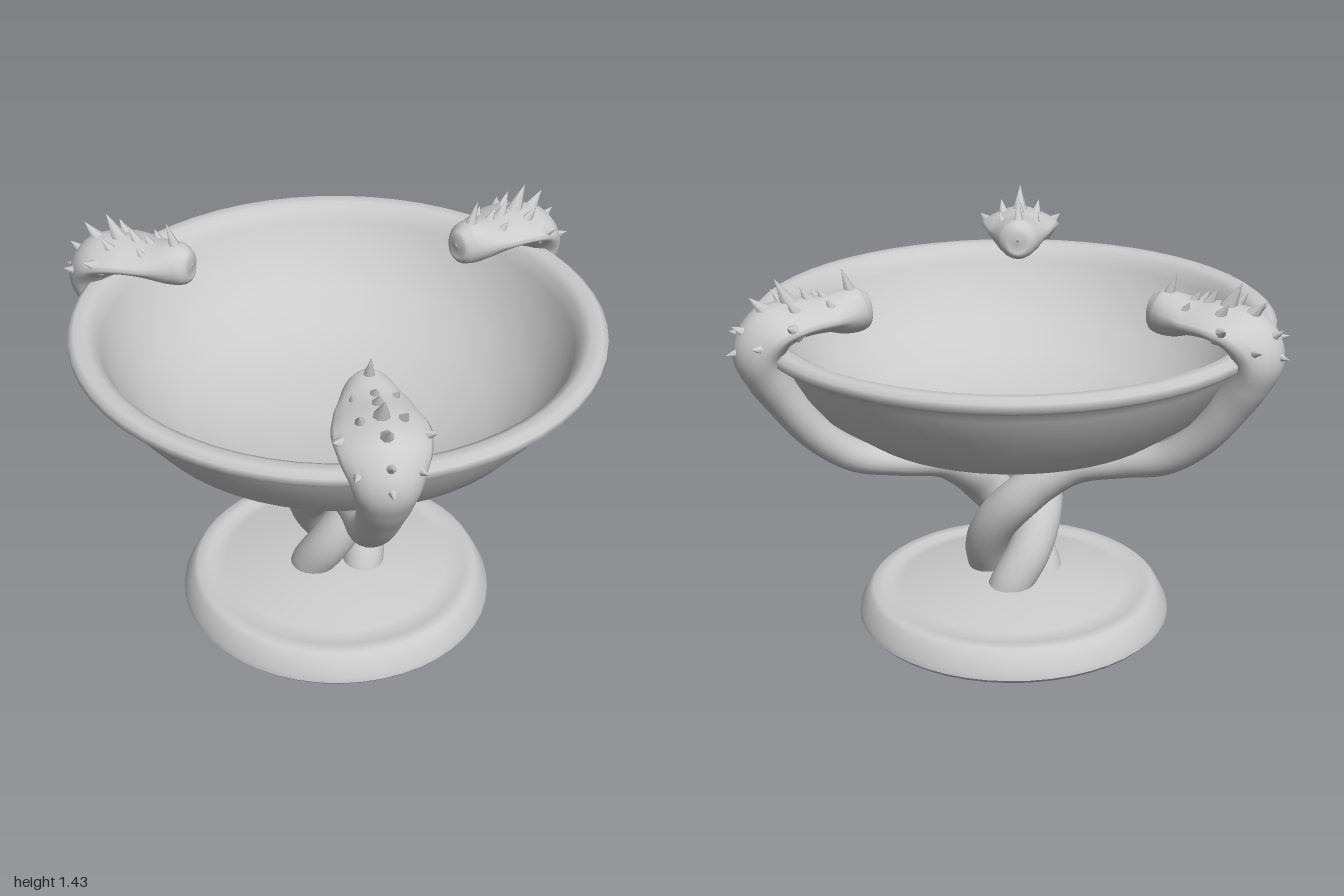
import * as THREE from 'three';
import { toCreasedNormals } from 'three/addons/utils/BufferGeometryUtils.js';

const material = new THREE.MeshStandardMaterial({ color: 0xcccccc });
const V = (x, y, z = 0) => new THREE.Vector3(x, y, z);

function mesh(name, geometry) {
  const m = new THREE.Mesh(geometry, material);
  m.name = name;
  return m;
}

const lathe = (profile, segments) =>
  new THREE.LatheGeometry(profile.map(([r, y]) => new THREE.Vector2(r, y)), segments);

// Loft along a curve; sizes holds (half width, half height, pointedness) per control point
function loft(points, sizes, steps, sides) {
  const path = new THREE.CatmullRomCurve3(points);
  const size = new THREE.CatmullRomCurve3(sizes, false, 'catmullrom', 0.4);
  const side = V(0, 0, 1);
  const positions = [], index = [];
  const power = (v, p) => Math.sign(v) * Math.pow(Math.abs(v), p);
  for (let i = 0; i <= steps; i++) {
    const c = path.getPoint(i / steps), t = path.getTangent(i / steps), s = size.getPoint(i / steps);
    side.addScaledVector(t, -side.dot(t)).normalize(); // carry the frame along
    const normal = t.clone().cross(side);
    for (let j = 0; j < sides; j++) {
      const a = (j / sides) * Math.PI * 2;
      const q = c.clone()
        .addScaledVector(side, power(Math.cos(a), s.z) * s.x)
        .addScaledVector(normal, power(Math.sin(a), s.z) * s.y);
      positions.push(q.x, q.y, q.z);
      if (i < steps) {
        const k = (j + 1) % sides, A = i * sides, B = A + sides;
        index.push(A + j, A + k, B + k, A + j, B + k, B + j);
      }
    }
  }
  const g = new THREE.BufferGeometry();
  g.setAttribute('position', new THREE.Float32BufferAttribute(positions, 3));
  g.setIndex(index);
  g.computeVertexNormals();
  return g;
}

// Cone from a root point to a tip
function spike(name, root, tip, radius) {
  const d = tip.clone().sub(root);
  const m = mesh(name, new THREE.ConeGeometry(radius, d.length(), 7));
  m.position.copy(root).addScaledVector(d, 0.5);
  m.quaternion.setFromUnitVectors(V(0, 1, 0), d.normalize());
  return m;
}

// One serpent reaching out along +x, from the snout back to its coiled tail
function createSerpent() {
  const g = new THREE.Group();
  // radius, height, twist in degrees, half width, half height, pointedness
  const body = [
    [0.548, 1.285, 0, 0.004, 0.004, 1],
    [0.555, 1.285, 0, 0.045, 0.05, 1],
    [0.585, 1.28, 0, 0.075, 0.075, 1.05],
    [0.64, 1.278, 0, 0.1, 0.075, 1.15],
    [0.72, 1.282, 0, 0.13, 0.06, 1.3],
    [0.83, 1.28, 0, 0.155, 0.065, 1.4],
    [0.91, 1.25, 0, 0.145, 0.08, 1.3],
    [0.95, 1.18, 0, 0.115, 0.082, 1.1],
    [0.925, 1.1, 0, 0.095, 0.075, 1],
    [0.865, 1.0, 0, 0.08, 0.068, 1],
    [0.765, 0.865, 0, 0.07, 0.062, 1],
    [0.63, 0.755, 0, 0.066, 0.058, 1],
    [0.46, 0.7, 0, 0.066, 0.055, 1],
    [0.29, 0.655, 5, 0.07, 0.06, 1],
    [0.18, 0.585, 20, 0.08, 0.072, 1],
    [0.125, 0.5, 52, 0.08, 0.08, 1],
    [0.1, 0.4, 95, 0.08, 0.08, 1],
    [0.1, 0.28, 142, 0.08, 0.08, 1],
    [0.11, 0.17, 180, 0.078, 0.078, 1],
    [0.12, 0.09, 200, 0.07, 0.07, 1],
  ];
  const points = body.map(([r, y, deg]) => {
    const a = THREE.MathUtils.degToRad(deg);
    return V(r * Math.cos(a), y, r * Math.sin(a));
  });
  g.add(mesh('serpentBody', loft(points, body.map((b) => V(b[3], b[4], b[5])), 120, 20)));

  // Spines along the top of the head: root x, y, tip x, y, radius
  [
    [0.61, 1.33, 0.645, 1.43, 0.025],
    [0.7, 1.32, 0.735, 1.375, 0.025],
    [0.755, 1.32, 0.795, 1.39, 0.028],
    [0.825, 1.32, 0.88, 1.425, 0.035],
    [0.9, 1.3, 0.97, 1.375, 0.035],
    [0.96, 1.24, 1.035, 1.285, 0.035],
    [0.98, 1.2, 1.06, 1.19, 0.032],
  ].forEach(([x, y, tx, ty, r]) => g.add(spike('headSpine', V(x, y), V(tx, ty), r)));

  // Paired brow and collar horns
  for (const s of [-1, 1]) {
    g.add(spike('browHorn', V(0.7, 1.3, s * 0.06), V(0.73, 1.355, s * 0.075), 0.025));
    g.add(spike('crownHorn', V(0.82, 1.3, s * 0.06), V(0.87, 1.37, s * 0.075), 0.03));
    g.add(spike('cheekHorn', V(0.85, 1.27, s * 0.11), V(0.9, 1.305, s * 0.16), 0.035));
    g.add(spike('collarHorn', V(0.94, 1.22, s * 0.08), V(1.01, 1.235, s * 0.11), 0.032));
  }
  return g;
}

export function createModel() {
  const model = new THREE.Group();
  model.name = 'serpentBowl';
  const goblet = new THREE.Group();
  goblet.name = 'goblet';
  goblet.position.x = 0.06;
  model.add(goblet);

  // Round foot with a low domed top
  const foot = lathe([
    [0, 0], [0.57, 0], [0.583, 0.015], [0.58, 0.035], [0.545, 0.1], [0.53, 0.112],
    [0.49, 0.116], [0.465, 0.104], [0.42, 0.114], [0.3, 0.138], [0.16, 0.16], [0, 0.165],
  ], 48);
  goblet.add(mesh('foot', toCreasedNormals(foot, 0.7)));

  // Bowl: outside, rolled rim, then inside
  goblet.add(mesh('bowl', lathe([
    [0, 0.69], [0.2, 0.7], [0.4, 0.735], [0.58, 0.8], [0.72, 0.9], [0.8, 1.0], [0.85, 1.09],
    [0.87, 1.135], [0.91, 1.138], [0.93, 1.155], [0.93, 1.18], [0.91, 1.195], [0.87, 1.192],
    [0.84, 1.175], [0.82, 1.13], [0.77, 1.03], [0.68, 0.92], [0.55, 0.83], [0.38, 0.77],
    [0.2, 0.74], [0, 0.73],
  ], 56)));

  // Three serpents entwined as the stem
  for (let i = 0; i < 3; i++) {
    const serpent = createSerpent();
    serpent.name = 'serpent' + (i + 1);
    serpent.rotation.y = Math.PI + (i * Math.PI * 2) / 3;
    goblet.add(serpent);
  }
  return model;
}
